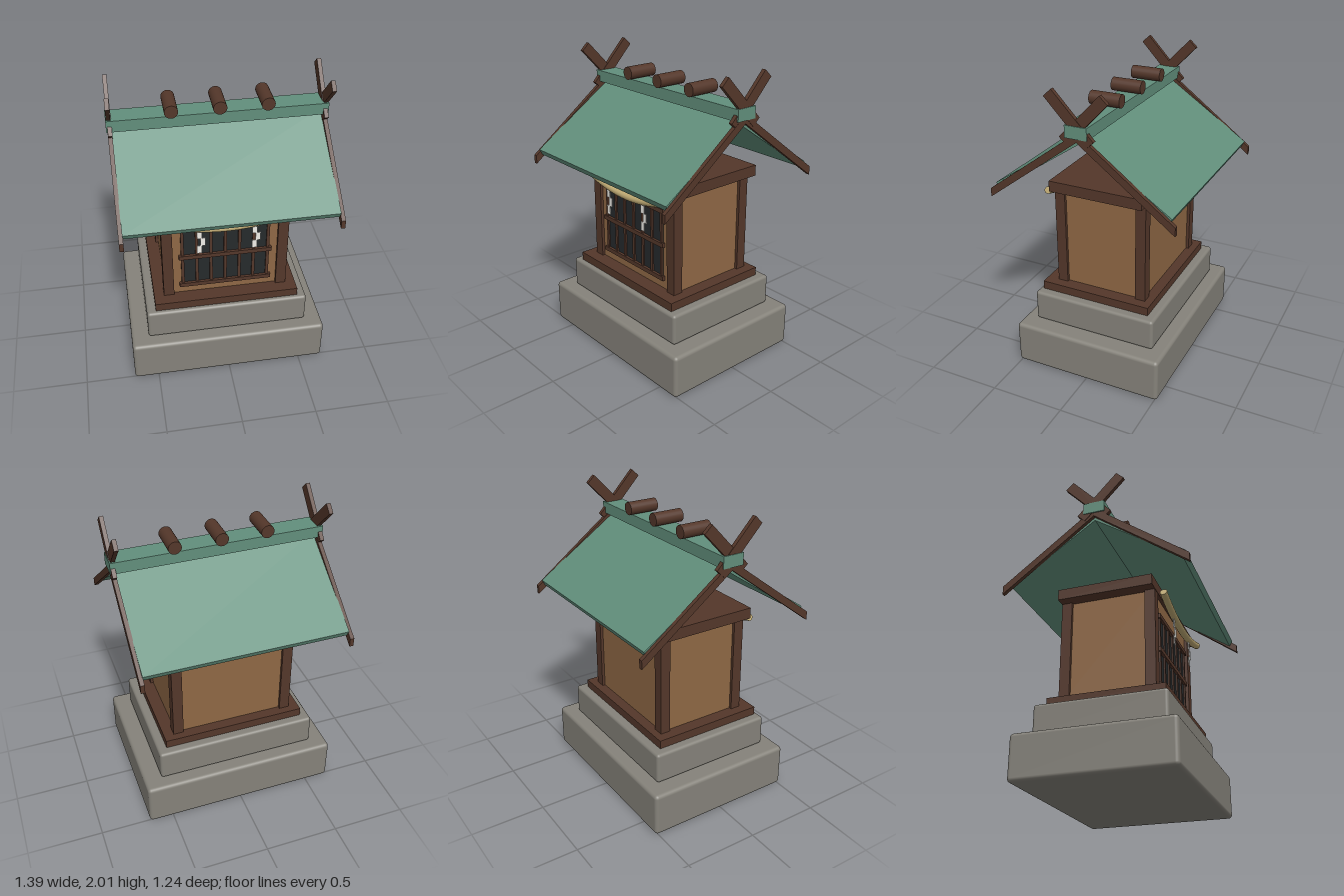
import * as THREE from 'three';
import { RoundedBoxGeometry } from 'three/addons/geometries/RoundedBoxGeometry.js';

const mat = (color, extra = {}) => new THREE.MeshStandardMaterial({ color, ...extra });

export function createModel() {
  const model = new THREE.Group();
  const stone = mat(0x85827a);
  const wood = mat(0x54372a);
  const plank = mat(0x8f6845);
  const copper = mat(0x628f7c);
  const dark = mat(0x262a2c);
  const straw = mat(0xc0ab74);
  const paper = mat(0xf0eee8, { side: THREE.DoubleSide });

  const add = (name, geometry, material, parent = model) => {
    const mesh = new THREE.Mesh(geometry, material);
    mesh.name = name;
    parent.add(mesh);
    return mesh;
  };
  const group = (name) => {
    const g = new THREE.Group();
    g.name = name;
    model.add(g);
    return g;
  };
  // box given by its extents along each axis
  const box = (name, [x0, x1], [y0, y1], [z0, z1], material, parent, radius = 0) => {
    const size = [x1 - x0, y1 - y0, z1 - z0];
    const geo = radius ? new RoundedBoxGeometry(...size, 3, radius) : new THREE.BoxGeometry(...size);
    const mesh = add(name, geo, material, parent);
    mesh.position.set((x0 + x1) / 2, (y0 + y1) / 2, (z0 + z1) / 2);
    return mesh;
  };
  // symmetric chevron in the z-y plane, extruded along x; points run down the +z side
  const chevron = (points, width) => {
    const mirrored = points.map(([z, y]) => [-z, y]).reverse();
    const outline = [...points, ...mirrored.filter(([z]) => z !== 0)];
    const [top, outer, lower, apex] = points;
    const pts = [top, outer, lower, apex, [-lower[0], lower[1]], [-outer[0], outer[1]]];
    const shape = new THREE.Shape((outline.length === 6 ? pts : outline).map(([z, y]) => new THREE.Vector2(z, y)));
    return new THREE.ExtrudeGeometry(shape, { depth: width, bevelEnabled: false })
      .translate(0, 0, -width / 2).rotateY(-Math.PI / 2);
  };

  // stone base
  box('lowerPlinth', [-0.665, 0.665], [0, 0.298], [-0.518, 0.518], stone, model, 0.025);
  box('upperPlinth', [-0.548, 0.548], [0.298, 0.51], [-0.43, 0.43], stone, model, 0.02);

  // body: floor, walls, corner posts, top beam
  box('floorBoard', [-0.487, 0.487], [0.508, 0.567], [-0.37, 0.4], wood);
  box('walls', [-0.4, 0.4], [0.565, 1.255], [-0.3, 0.3], plank);
  const posts = group('cornerPosts');
  for (const x of [-0.385, 0.385])
    for (const z of [-0.285, 0.285])
      box('cornerPost', [x - 0.035, x + 0.035], [0.565, 1.255], [z - 0.035, z + 0.035], wood, posts);
  box('topBeam', [-0.487, 0.487], [1.252, 1.325], [-0.322, 0.322], wood);

  // lattice door
  const door = group('latticeDoor');
  box('doorPanel', [-0.295, 0.295], [0.64, 1.13], [0.295, 0.304], dark, door);
  for (let i = -3; i <= 3; i++)
    box('verticalBar', [i * 0.095 - 0.01, i * 0.095 + 0.01], [0.635, 1.14], [0.298, 0.314], wood, door);
  for (const y of [0.643, 0.88, 1.116])
    box('horizontalBar', [-0.31, 0.31], [y - 0.015, y + 0.015], [0.298, 0.322], wood, door);

  // sagging straw rope with capped ends
  const rope = group('rope');
  const curve = new THREE.QuadraticBezierCurve3(
    new THREE.Vector3(-0.415, 1.22, 0.376),
    new THREE.Vector3(0, 1.074, 0.376),
    new THREE.Vector3(0.415, 1.22, 0.376));
  add('ropeStrand', new THREE.TubeGeometry(curve, 40, 0.024, 14), straw, rope);
  for (const t of [0, 1]) {
    const cap = add('ropeEnd', new THREE.CircleGeometry(0.024, 14), straw, rope);
    const p = curve.getPoint(t);
    cap.position.copy(p);
    cap.lookAt(p.add(curve.getTangent(t).multiplyScalar(t ? 1 : -1)));
  }

  // zigzag paper streamers
  const streamers = group('paperStreamers');
  for (const x of [-0.18, 0.18])
    for (let i = 0; i < 3; i++) {
      const cx = x + (i === 1 ? 0.022 : 0);
      const y = 1.11 - i * 0.06;
      box('paperFold', [cx - 0.016, cx + 0.016], [y - 0.031, y + 0.031], [0.373, 0.378], paper, streamers);
    }

  // gabled roof with ridge cap
  add('roof', chevron([[0, 1.733], [0.592, 1.337], [0.572, 1.298], [0, 1.687]], 1.328), copper);
  box('ridgeCap', [-0.695, 0.695], [1.73, 1.807], [-0.072, 0.072], copper);

  // gable ends: sloping edge boards and crossed finials
  const gables = group('gables');
  const length = 0.385;
  const tilt = Math.atan2(0.255, 0.27);
  for (const side of [-1, 1]) {
    const edge = add('edgeBoard', chevron([[0, 1.765], [0.621, 1.3], [0.621, 1.243], [0, 1.708]], 0.027), wood, gables);
    edge.position.x = side * 0.674;
    for (const dir of [-1, 1]) {
      const finial = add('crossedFinial', new THREE.BoxGeometry(0.027, length, 0.07), wood, gables);
      finial.position.set(side * (0.675 + dir * 0.002), 1.843, dir * 0.045);
      finial.rotation.x = dir * tilt;
    }
  }

  // round logs across the ridge
  const logs = group('ridgeLogs');
  for (const x of [-0.3, 0, 0.3]) {
    const log = add('ridgeLog', new THREE.CylinderGeometry(0.043, 0.043, 0.206, 24), wood, logs);
    log.rotation.x = Math.PI / 2;
    log.position.set(x, 1.852, 0);
  }

  return model;
}
